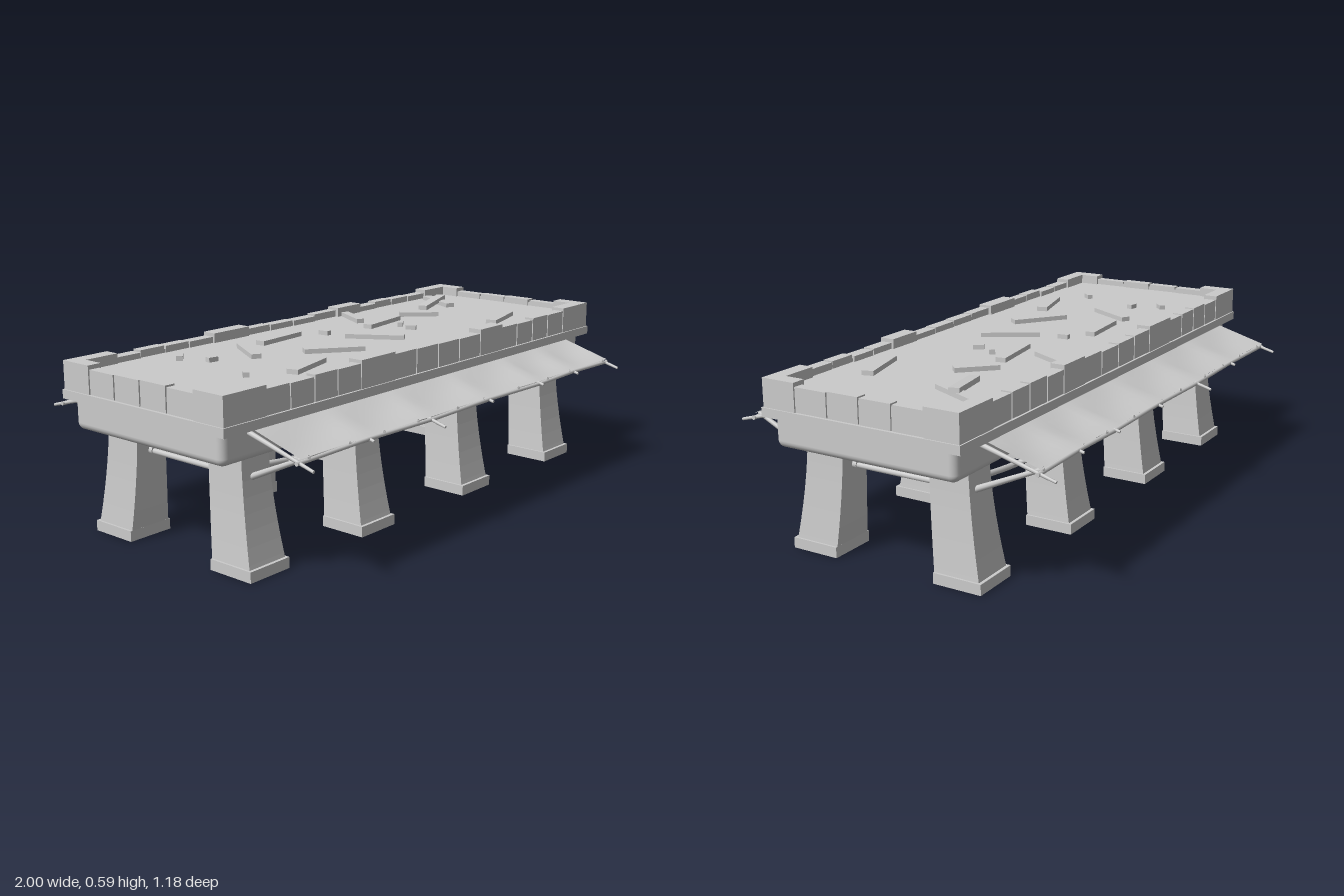
import * as THREE from 'three';
import { RoundedBoxGeometry } from 'three/addons/geometries/RoundedBoxGeometry.js';

const stone = new THREE.MeshStandardMaterial({ color: 0xcccccc });
const flat = new THREE.MeshStandardMaterial({ color: 0xcccccc, flatShading: true });
const fabric = new THREE.MeshStandardMaterial({ color: 0xcccccc, side: THREE.DoubleSide });

const LEG_X = [-0.815, -0.3, 0.262, 0.81];
const V = (x, y, z) => new THREE.Vector3(x, y, z);

function add(parent, name, geometry, material = flat) {
  const mesh = new THREE.Mesh(geometry, material);
  mesh.name = name;
  parent.add(mesh);
  return mesh;
}

// box given by its minimum and maximum corners
function block(parent, name, x0, x1, y0, y1, z0, z1) {
  const mesh = add(parent, name, new THREE.BoxGeometry(x1 - x0, y1 - y0, z1 - z0));
  mesh.position.set((x0 + x1) / 2, (y0 + y1) / 2, (z0 + z1) / 2);
}

// round pole between two points, r1 at a and r2 at b
function pole(parent, name, a, b, r1, r2 = r1) {
  const dir = b.clone().sub(a);
  const mesh = add(parent, name, new THREE.CylinderGeometry(r2, r1, dir.length(), 8), stone);
  mesh.position.copy(a).add(b).multiplyScalar(0.5);
  mesh.quaternion.setFromUnitVectors(V(0, 1, 0), dir.normalize());
}

// tapering leg with a concave flare, leaning inward towards the deck
function leg(x, side) {
  const group = new THREE.Group();
  group.name = 'leg';
  const g = new THREE.BoxGeometry(1, 0.4, 1, 1, 8, 1);
  g.translate(0, 0.2, 0);
  const p = g.attributes.position;
  for (let i = 0; i < p.count; i++) {
    const t = THREE.MathUtils.clamp(p.getY(i) / 0.4, 0, 1);
    const ease = 1 - (1 - t) ** 1.6;
    p.setX(i, p.getX(i) * (0.16 - 0.045 * ease));
    p.setZ(i, p.getZ(i) * (0.164 - 0.024 * ease) - 0.04 * ease * side);
  }
  g.computeVertexNormals();
  add(group, 'legShaft', g);
  const foot = new THREE.BoxGeometry(0.168, 0.036, 0.172);
  foot.translate(0, 0.018, 0);
  add(group, 'legFoot', foot);
  group.position.set(x, 0, 0.272 * side);
  return group;
}

// raised rim: taller corner and middle blocks with uneven low stones between
function parapet() {
  const group = new THREE.Group();
  group.name = 'parapet';
  const high = [[-0.995, -0.82], [-0.39, -0.22], [0.265, 0.4], [0.82, 0.995]];
  for (const s of [-1, 1]) {
    const span = (a, b) => (s > 0 ? [a, b] : [-b, -a]);
    // long sides
    high.forEach(([a, b]) => block(group, 'tallRimStone', a, b, 0.5, 0.594, ...span(0.308, 0.36)));
    for (let k = 0; k < 3; k++) {
      const a = high[k][1], w = (high[k + 1][0] - a) / 4;
      for (let i = 0; i < 4; i++) {
        const wob = ((i * 3 + k * 2 + (s > 0 ? 1 : 0)) % 4) * 0.002;
        block(group, 'rimStone', a + i * w, a + (i + 1) * w - (i < 3 ? 0.006 : 0),
          0.5, 0.579 + wob, ...span(0.314 + wob, 0.357));
      }
    }
    // short ends
    for (const z of [[0.237, 0.308], [-0.308, -0.237]]) {
      block(group, 'tallRimStone', ...span(0.945, 0.995), 0.5, 0.594, ...z);
    }
    for (let i = 0; i < 4; i++) {
      const a = -0.237 + i * 0.1185;
      block(group, 'rimStone', ...span(0.952 + (i % 2) * 0.004, 0.99), 0.5,
        0.58 + (i % 3) * 0.002, a, a + (i < 3 ? 0.1125 : 0.1185));
    }
    // solid backing closes the small joints between stones
    block(group, 'rimCore', -0.985, 0.985, 0.5, 0.572, ...span(0.321, 0.353));
    block(group, 'rimCore', ...span(0.957, 0.985), 0.5, 0.572, -0.34, 0.34);
  }
  return group;
}

// awning along one long side: 1 is the front, -1 the back
function awning(side) {
  const group = new THREE.Group();
  group.name = 'awning';
  const P = (x, y, z) => V(x, y, z * side);
  const bays = [-0.87, -0.56, -0.25, 0.07, 0.385, 0.62, 0.85];

  // cloth sags between its poles and along its slope
  const g = new THREE.PlaneGeometry(1, 1, 48, 6);
  const p = g.attributes.position;
  for (let i = 0; i < p.count; i++) {
    const x = -0.87 + (p.getX(i) + 0.5) * 1.72;
    const t = 0.5 - p.getY(i);
    let k = 0;
    while (k < bays.length - 2 && x > bays[k + 1]) k++;
    const u = (x - bays[k]) / (bays[k + 1] - bays[k]);
    const sag = Math.max(0, Math.sin(Math.PI * u));
    p.setXYZ(i, x, 0.47 - 0.055 * t - 0.012 * sag * Math.sin(Math.PI * t),
      side * (0.35 + 0.19 * t - 0.006 * sag * t));
  }
  // keep the upper side of the cloth as its front face
  if (side < 0) g.index.array.reverse();
  g.computeVertexNormals();
  add(group, 'awningCloth', g, fabric);

  // poles under the cloth, three of them longer
  bays.forEach((x, i) => {
    const long = i % 2 === 0 && i !== 4;
    const end = long ? P(x, 0.387, 0.588) : P(x, 0.401, 0.552);
    pole(group, 'awningPole', P(x, 0.458, 0.33), end, 0.009, 0.005);
  });
  // outer rail in slightly crooked lengths
  for (let i = 0; i < bays.length - 1; i++) {
    const y = 0.402 + (i % 2) * 0.005;
    pole(group, 'awningRail', P(bays[i] - 0.012, y, 0.532), P(bays[i + 1] + 0.012, 0.809 - y, 0.532), 0.007);
  }
  // slanting struts, heavier where they meet a leg
  for (const x of [-0.83, -0.65, -0.49, -0.32, -0.11, 0.04, 0.25, 0.44, 0.59, 0.83]) {
    const heavy = LEG_X.some((l) => Math.abs(l - x) < 0.03);
    pole(group, 'awningStrut', P(x, heavy ? 0.298 : 0.31, 0.285), P(x, 0.412, 0.535), heavy ? 0.011 : 0.008, 0.007);
  }
  // sagging logs from leg to leg
  const runs = [[0.325, 0.305], [0.298, 0.298], [0.295, 0.325]];
  runs.forEach(([y0, y1], i) => {
    const a = LEG_X[i] + 0.03, b = LEG_X[i + 1] - 0.03;
    const curve = new THREE.QuadraticBezierCurve3(
      P(a, y0, 0.28), P((a + b) / 2, Math.min(y0, y1) - 0.006, 0.282), P(b, y1, 0.28));
    add(group, 'sideLog', new THREE.TubeGeometry(curve, 8, 0.01, 8), stone);
  });
  return group;
}

// loose planks and chips: x, z, length, width, angle in degrees
function debris() {
  const group = new THREE.Group();
  group.name = 'debris';
  const items = [
    [-0.43, -0.1, 0.19, 0.035, 60], [-0.21, -0.17, 0.21, 0.035, 5], [0.26, -0.23, 0.16, 0.03, 62],
    [0.26, -0.085, 0.21, 0.035, 8], [0.485, -0.085, 0.15, 0.035, -45], [0.76, -0.195, 0.2, 0.035, 65],
    [-0.225, 0.1, 0.21, 0.04, -36], [0.035, 0.065, 0.21, 0.035, -58], [-0.47, 0.2, 0.2, 0.04, 15],
    [0.62, 0.2, 0.2, 0.04, 15], [-0.65, -0.2, 0.038, 0.022, 45], [-0.6, -0.1, 0.036, 0.02, -8],
    [-0.03, -0.115, 0.04, 0.02, 95], [0.275, -0.01, 0.036, 0.02, 35], [0.25, 0.06, 0.038, 0.02, -62],
    [-0.68, 0.135, 0.036, 0.02, 50], [0.69, -0.175, 0.2, 0.035, 15],
  ];
  items.forEach(([x, z, length, width, angle], i) => {
    const m = add(group, length > 0.1 ? 'loosePlank' : 'stoneChip', new THREE.BoxGeometry(length, 0.018, width));
    // the last plank leans on its neighbour
    const leaning = i === items.length - 1;
    m.rotation.set(0, THREE.MathUtils.degToRad(angle), leaning ? 0.07 : 0, 'YXZ');
    m.position.set(x, leaning ? 0.576 : 0.567, z);
  });
  return group;
}

export function createModel() {
  const model = new THREE.Group();
  model.name = 'stonePlatform';

  // deck
  const slab = add(model, 'deckSlab', new RoundedBoxGeometry(1.96, 0.155, 0.67, 3, 0.025), stone);
  slab.position.y = 0.4475;
  block(model, 'deckLedge', -1, 1, 0.47, 0.5, -0.365, 0.365);
  block(model, 'deckFloor', -0.97, 0.97, 0.49, 0.56, -0.335, 0.335);
  model.add(parapet(), debris());

  // legs and the logs crossing between each pair
  for (const x of LEG_X) {
    for (const side of [-1, 1]) {
      model.add(leg(x, side));
      pole(model, 'logCollar', V(x, 0.297, side * 0.15), V(x, 0.297, side * 0.175), 0.014);
    }
    pole(model, 'crossLog', V(x, 0.295, -0.18), V(x, 0.295, 0.18), 0.01);
  }

  // awnings on both long sides
  model.add(awning(1), awning(-1));
  return model;
}
